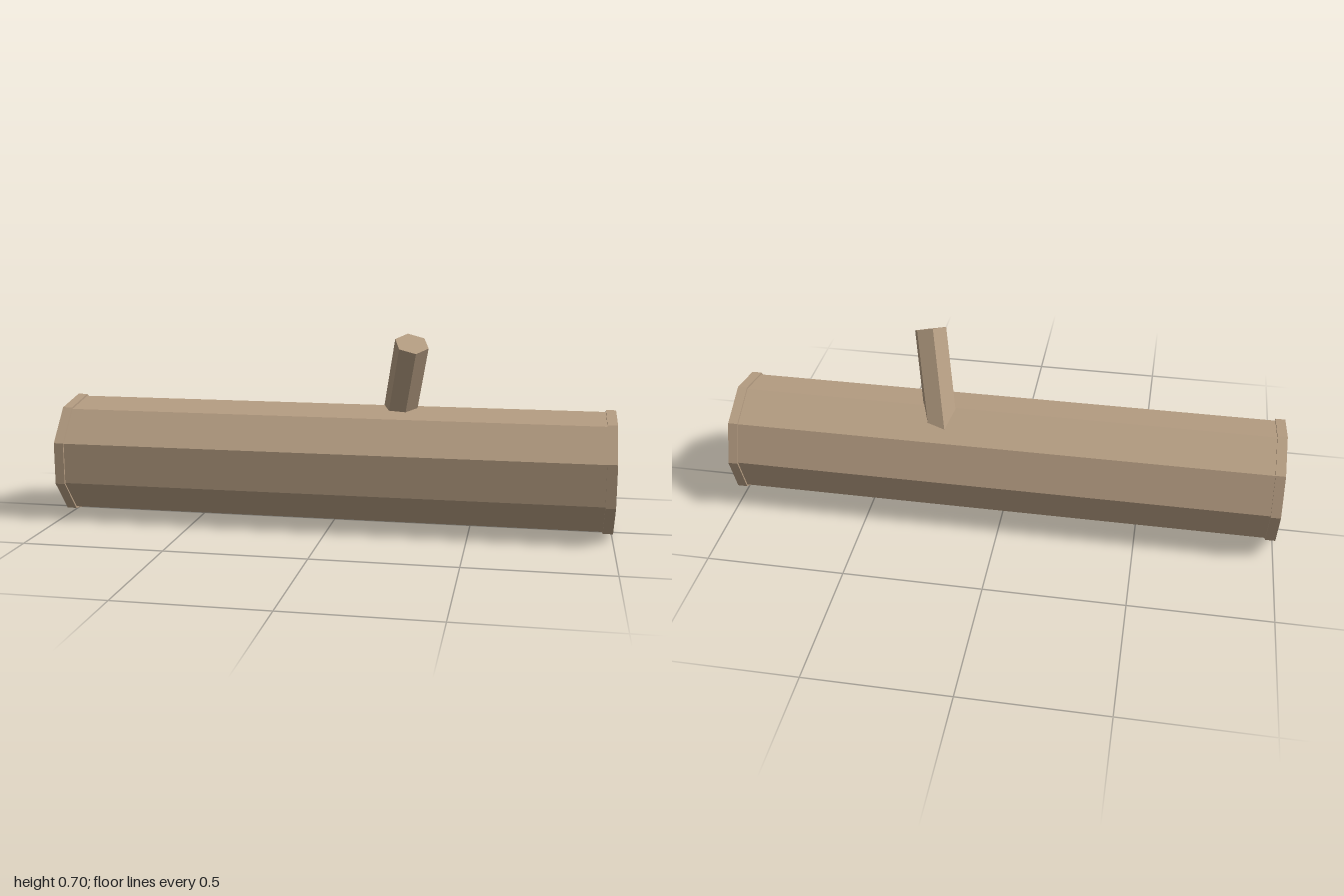
import * as THREE from 'three';

export function createModel() {
  const wood = new THREE.MeshStandardMaterial({ color: 0xb59d82 });
  wood.name = 'wood';
  wood.flatShading = true;
  const model = new THREE.Group();
  model.name = 'log';

  const add = (name, geometry) => {
    const mesh = new THREE.Mesh(geometry, wood);
    mesh.name = name;
    model.add(mesh);
    return mesh;
  };

  // Nine-sided lengths of trunk lying along x, one corner pointing back
  const trunkPart = (name, radius, length, x, open) => {
    const g = new THREE.CylinderGeometry(radius, radius, length, 9, 1, open, Math.PI);
    g.rotateZ(Math.PI / 2);
    add(name, g).position.set(x, 0.218, 0.007);
  };
  trunkPart('trunk', 0.2145, 1.94, 0, true);
  for (const [name, side] of [['leftEnd', 1], ['rightEnd', -1]]) {
    trunkPart(name, 0.2214, 0.035, side * 0.9825, false);
  }

  // Six-sided branch stub, leaning forward and to the left, rooted in the trunk
  const tip = new THREE.Vector3(0.291, 0.672, 0.104);
  const axis = new THREE.Vector3(0.209, 1, 0.513).normalize();
  const across = new THREE.Vector3(0.059, -0.0145, 0.005);
  across.addScaledVector(axis, -across.dot(axis)).normalize();
  const depth = new THREE.Vector3().crossVectors(across, axis);
  const length = 0.42;
  const stub = new THREE.CylinderGeometry(0.061, 0.061, length, 6, 1, false, Math.PI / 2);
  stub.translate(0, -length / 2, 0);
  const branch = add('branch', stub);
  branch.quaternion.setFromRotationMatrix(new THREE.Matrix4().makeBasis(across, axis, depth));
  branch.position.copy(tip);

  return model;
}
